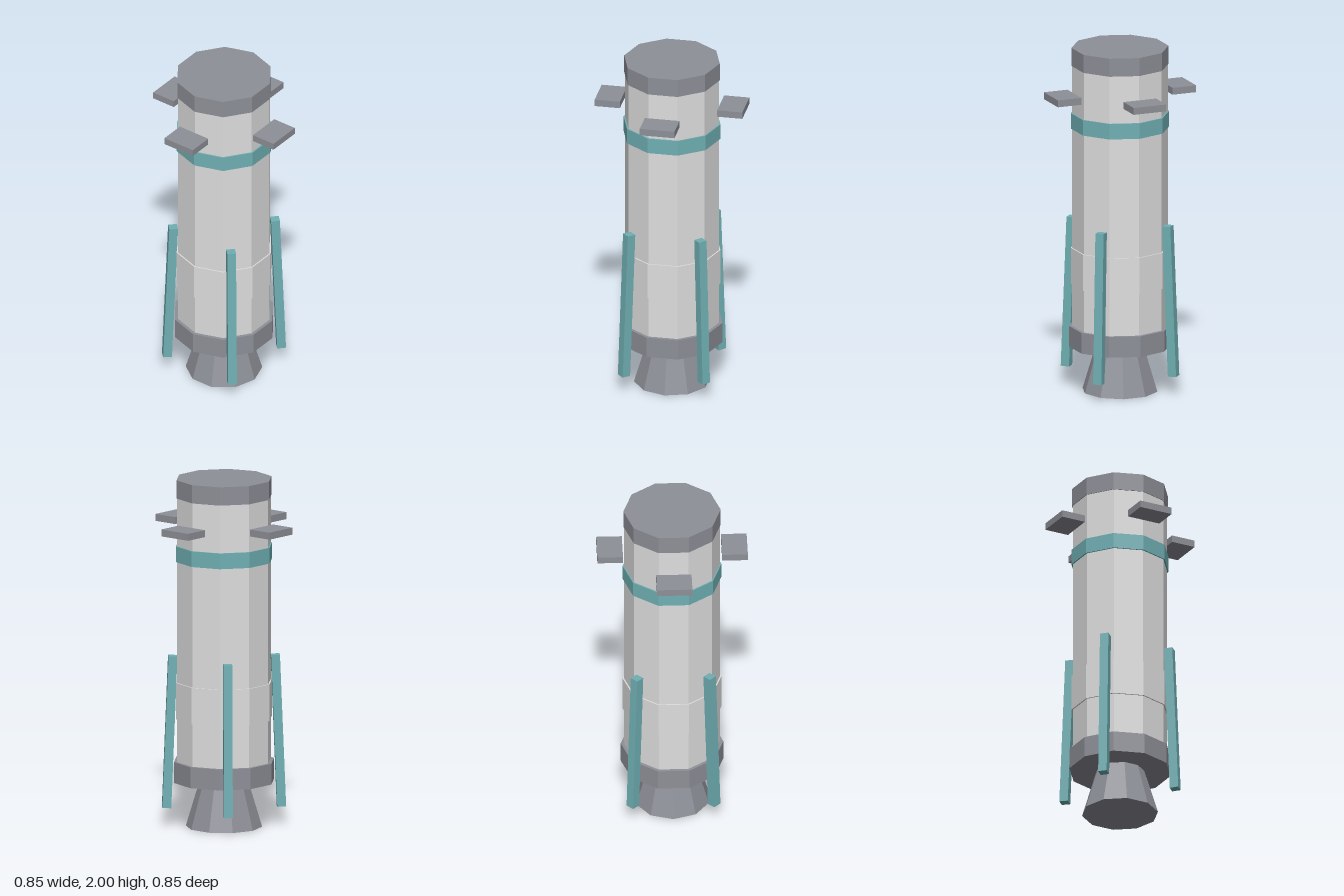
import * as THREE from 'three';

export function createModel() {
  const model = new THREE.Group();
  model.name = 'rocketBooster';

  const material = (name, color) => {
    const m = new THREE.MeshStandardMaterial({ color, flatShading: true });
    m.name = name;
    return m;
  };
  const white = material('hullWhite', 0xdedede);
  const grey = material('metalGrey', 0x8e9098);
  const teal = material('trimTeal', 0x70b0b4);

  const add = (name, geometry, mat, parent = model) => {
    const mesh = new THREE.Mesh(geometry, mat);
    mesh.name = name;
    parent.add(mesh);
    return mesh;
  };

  // Ten-sided drum between two heights
  const drum = (name, bottom, top, radius, mat) => {
    const mesh = add(name, new THREE.CylinderGeometry(radius, radius, top - bottom, 10), mat);
    mesh.position.y = (bottom + top) / 2;
  };

  // Hull and its rings
  drum('hull', 0.3, 1.95, 0.271, white);
  drum('topCap', 1.895, 2, 0.275, grey);
  drum('tealBand', 1.53, 1.62, 0.279, teal);
  drum('middleBand', 0.625, 0.835, 0.279, white);
  drum('engineRing', 0.26, 0.38, 0.29, grey);

  // Flared engine nozzle
  const nozzle = add('nozzle', new THREE.CylinderGeometry(0.132, 0.216, 0.28, 10), grey);
  nozzle.position.y = 0.14;
  nozzle.rotation.y = Math.PI / 2;

  for (let i = 0; i < 4; i++) {
    // Flat steering fin on each side
    const finMount = new THREE.Group();
    finMount.name = 'finMount';
    finMount.rotation.y = i * Math.PI / 2;
    model.add(finMount);
    const fin = add('steeringFin', new THREE.BoxGeometry(0.2, 0.04, 0.145), grey, finMount);
    fin.position.set(0, 1.735, 0.3525);

    // Folded landing leg on each diagonal, its foot leaning outwards
    const legMount = new THREE.Group();
    legMount.name = 'legMount';
    legMount.rotation.y = (i + 0.5) * Math.PI / 2;
    model.add(legMount);
    const leg = add('landingLeg', new THREE.BoxGeometry(0.05, 0.873, 0.05), teal, legMount);
    leg.position.set(0, 0.548, 0.3075);
    leg.rotation.x = -0.04;
  }

  return model;
}
